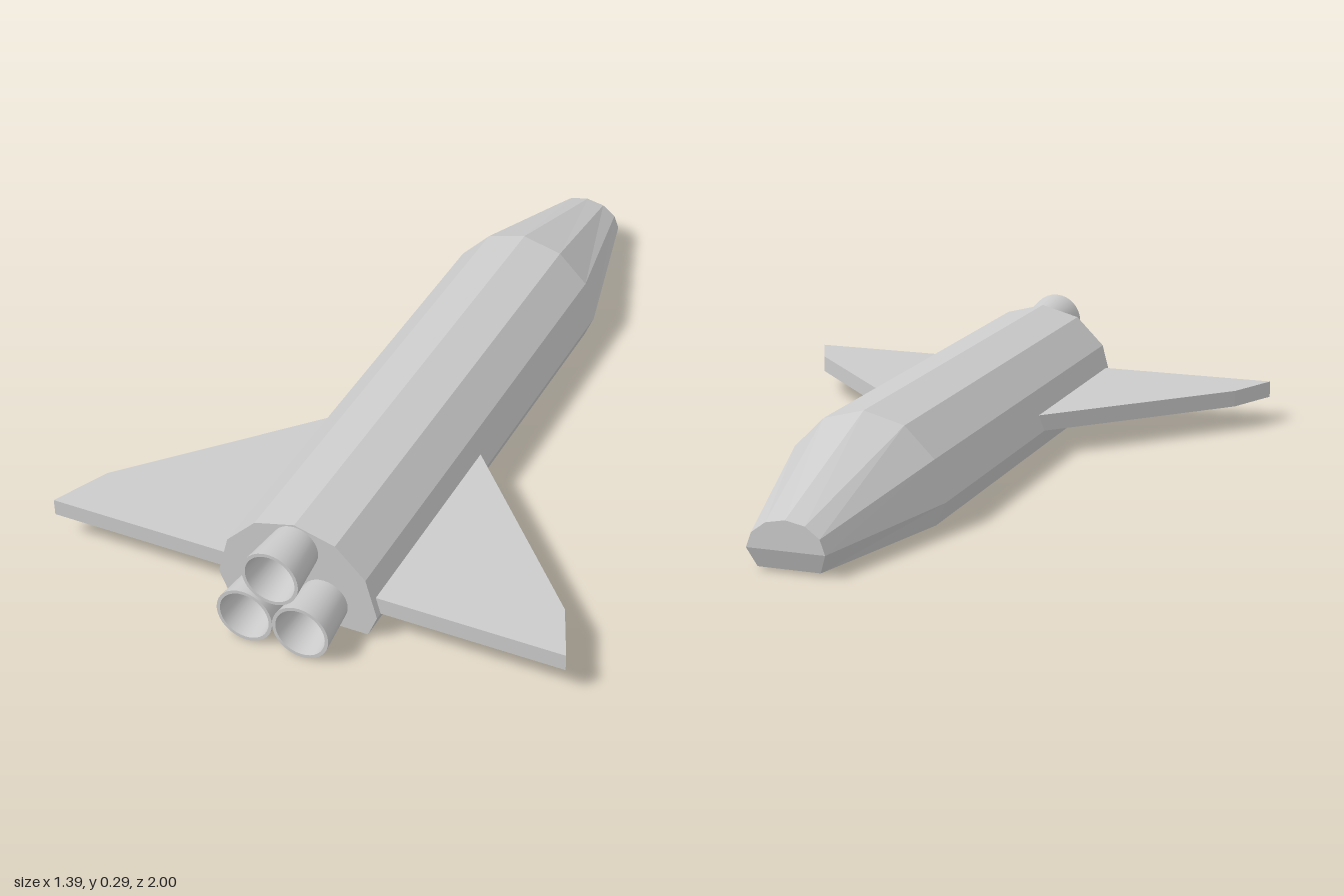
import * as THREE from 'three';
import { toCreasedNormals } from 'three/addons/utils/BufferGeometryUtils.js';

const smooth = new THREE.MeshStandardMaterial({ color: 0xcccccc });
const flat = new THREE.MeshStandardMaterial({ color: 0xcccccc, flatShading: true });

// Hull section: faceted half-round top over a flat belly, counter-clockwise seen from +z
function section(z, rx, ry, midY, bellyX, bellyZ = z) {
  const ring = [[bellyX, 0.01, bellyZ]];
  for (let i = 0; i <= 6; i++) {
    const a = (i * Math.PI) / 6;
    ring.push([rx * Math.cos(a), midY + ry * Math.sin(a), z]);
  }
  ring.push([-bellyX, 0.01, bellyZ]);
  return ring;
}

// Flat-sided skin over the sections, closed at both ends
function hullGeometry(rings) {
  const pos = [];
  const tri = (a, b, c) => pos.push(...a, ...b, ...c);
  const n = rings[0].length;
  const tail = rings[0], tip = rings[rings.length - 1];
  const tailMid = [0, 0.07, tail[1][2]];
  const tipMid = [0, tip[1][1], tip[1][2]];
  for (let i = 0; i < n; i++) {
    const j = (i + 1) % n;
    for (let k = 0; k < rings.length - 1; k++) {
      const a = rings[k], b = rings[k + 1];
      tri(a[i], b[i], b[j]);
      tri(a[i], b[j], a[j]);
    }
    tri(tailMid, tail[i], tail[j]);
    tri(tipMid, tip[j], tip[i]);
  }
  const g = new THREE.BufferGeometry();
  g.setAttribute('position', new THREE.Float32BufferAttribute(pos, 3));
  g.computeVertexNormals();
  return g;
}

export function createModel() {
  const model = new THREE.Group();
  model.name = 'spaceplane';
  const add = (name, geometry, material) => {
    const mesh = new THREE.Mesh(geometry, material);
    mesh.name = name;
    model.add(mesh);
    return mesh;
  };

  // Fuselage with tapered nose
  add('fuselage', hullGeometry([
    section(0.87, 0.215, 0.215, 0.07, 0.19),
    section(-0.52, 0.215, 0.215, 0.07, 0.19),
    section(-1, 0.1, 0.075, 0.06, 0.08, -0.98),
  ]), flat);

  // Delta wings, roots buried in the fuselage
  for (const [name, s] of [['leftWing', 1], ['rightWing', -1]]) {
    const outline = [[0.15, 0.175], [0.63, 0.7], [0.695, 0.85], [0.15, 0.85]];
    const shape = new THREE.Shape(outline.map(([x, z]) => new THREE.Vector2(s * x, z)));
    const g = new THREE.ExtrudeGeometry(shape, { depth: 0.045, bevelEnabled: false });
    g.rotateX(Math.PI / 2);
    add(name, g, flat).position.y = 0.115;
  }

  // Three hollow flared engine nozzles
  const profile = [[0.061, -0.01], [0.075, 0.13], [0.066, 0.13], [0.052, 0.003], [0, 0.003]]
    .map(([r, y]) => new THREE.Vector2(r, y));
  const nozzle = toCreasedNormals(new THREE.LatheGeometry(profile, 32), 0.6);
  nozzle.rotateX(Math.PI / 2);
  for (const [name, x, y] of [['topNozzle', 0, 0.217], ['leftNozzle', 0.075, 0.077], ['rightNozzle', -0.075, 0.077]]) {
    add(name, nozzle, smooth).position.set(x, y, 0.87);
  }

  return model;
}
